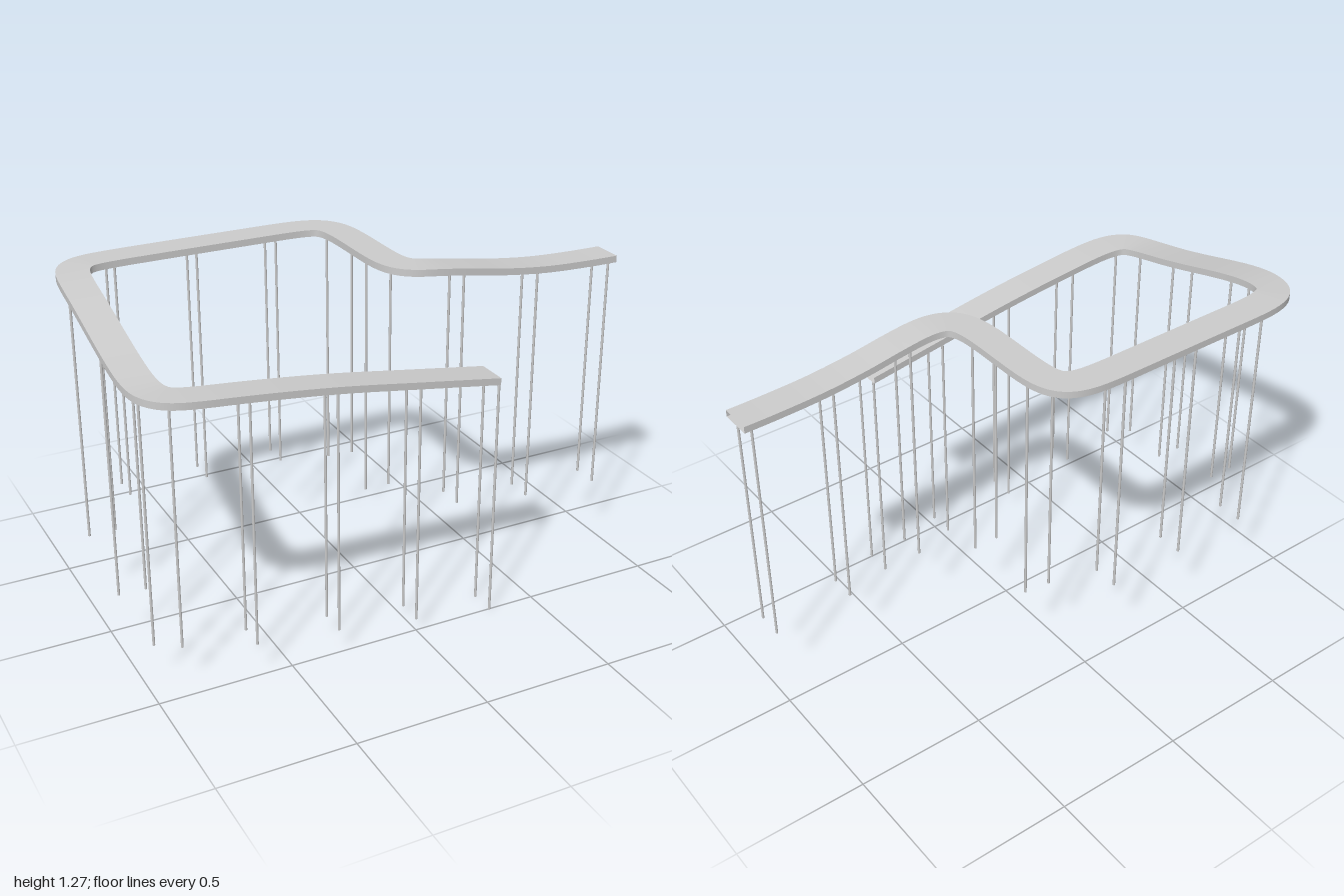
import * as THREE from 'three';

const HALF = 0.0605;     // half width of the track
const THICK = 0.026;     // depth of the track beam
const POST_LENGTH = 0.924;
const POST_OFFSET = 0.05;

// Plan of the track in (x, z): straights easing into tight corners
function makePlan() {
  const reach = 0.28, pull = 0.95;
  const stops = [[0.317, 0.449], [-0.94, 0.449], [-0.94, -0.451], [0.113, -0.451], [0.113, 0.152], [1, 0.152]]
    .map(([x, z]) => new THREE.Vector2(x, z));
  const plan = new THREE.Path();
  plan.moveTo(stops[0].x, stops[0].y);
  for (let i = 1; i < stops.length - 1; i++) {
    const c = stops[i];
    const a = stops[i - 1].clone().sub(c).setLength(reach).add(c);
    const b = stops[i + 1].clone().sub(c).setLength(reach).add(c);
    const h1 = a.clone().lerp(c, pull), h2 = b.clone().lerp(c, pull);
    plan.lineTo(a.x, a.y);
    plan.bezierCurveTo(h1.x, h1.y, h2.x, h2.y, b.x, b.y);
  }
  plan.lineTo(1, 0.152);
  return plan;
}

// Height of the track surface by distance along the plan
const distances = [0, 0.315, 0.63, 0.945, 1.1, 1.227, 1.3, 1.449, 1.549, 1.849, 1.949, 2.074, 2.2, 2.9, 3.55, 3.68, 3.82, 3.96, 4.13, 4.31, 4.5];
const heights = [0.95, 0.998, 1.045, 1.08, 1.093, 1.101, 1.107, 1.136, 1.161, 1.243, 1.262, 1.272, 1.273, 1.273, 1.273, 1.269, 1.25, 1.227, 1.208, 1.2, 1.198];

function makeFrames(count) {
  const plan = makePlan();
  const length = plan.getLength();
  const profile = new THREE.CubicInterpolant(distances, heights, 1);
  const frames = [];
  for (let i = 0; i <= count; i++) {
    const t = i / count;
    const p = plan.getPoint(t);
    const d = plan.getTangent(t);
    const y = profile.evaluate(t * length)[0];
    frames.push({ pos: new THREE.Vector3(p.x, y, p.y), side: new THREE.Vector3(-d.y, 0, d.x) });
  }
  return frames;
}

// Hollow box section swept along the frames, open at both ends
function trackGeometry(frames) {
  const corners = [[-HALF, 0], [HALF, 0], [HALF, -THICK], [-HALF, -THICK]];
  const positions = [], index = [];
  for (let k = 0; k < 4; k++) {
    const base = positions.length / 3;
    frames.forEach(({ pos, side }, i) => {
      for (const [u, v] of [corners[k], corners[(k + 1) % 4]]) {
        positions.push(pos.x + side.x * u, pos.y + v, pos.z + side.z * u);
      }
      if (i < frames.length - 1) {
        const a = base + i * 2;
        index.push(a, a + 1, a + 2, a + 1, a + 3, a + 2);
      }
    });
  }
  const geometry = new THREE.BufferGeometry();
  geometry.setAttribute('position', new THREE.Float32BufferAttribute(positions, 3));
  geometry.setIndex(index);
  geometry.computeVertexNormals();
  return geometry;
}

export function createModel() {
  const model = new THREE.Group();
  model.name = 'elevatedTrack';
  const material = new THREE.MeshStandardMaterial({ color: 0xcccccc, side: THREE.DoubleSide });
  const frames = makeFrames(600);

  const track = new THREE.Mesh(trackGeometry(frames), material);
  track.name = 'track';
  model.add(track);

  // Pairs of thin posts: x, z and the angle of the line joining the pair
  const ACROSS_Z = Math.PI / 2;
  const stations = [
    [0.314, 0.451, ACROSS_Z], [0, 0.451, ACROSS_Z], [-0.315, 0.451, ACROSS_Z], [-0.631, 0.45, ACROSS_Z],
    [-0.922, 0.402, 0.6], [-0.94, 0.101, 0.04], [-0.94, -0.21, 0],
    [-0.763, -0.445, ACROSS_Z], [-0.447, -0.447, ACROSS_Z], [-0.128, -0.447, ACROSS_Z],
    [0.11, -0.338, 0.12], [0.111, -0.02, 0],
    [0.338, 0.153, ACROSS_Z], [0.653, 0.153, ACROSS_Z], [0.969, 0.153, ACROSS_Z],
  ];
  const postGeometry = new THREE.CylinderGeometry(0.005, 0.005, POST_LENGTH, 8);
  const posts = new THREE.Group();
  posts.name = 'supportPosts';
  for (const [x, z, angle] of stations) {
    const gap = (f) => Math.hypot(f.pos.x - x, f.pos.z - z);
    const { pos } = frames.reduce((best, f) => (gap(f) < gap(best) ? f : best));
    for (const offset of [-POST_OFFSET, POST_OFFSET]) {
      const post = new THREE.Mesh(postGeometry, material);
      post.name = 'supportPost';
      post.position.set(x + Math.cos(angle) * offset, pos.y - THICK - POST_LENGTH / 2, z + Math.sin(angle) * offset);
      posts.add(post);
    }
  }
  model.add(posts);
  return model;
}
